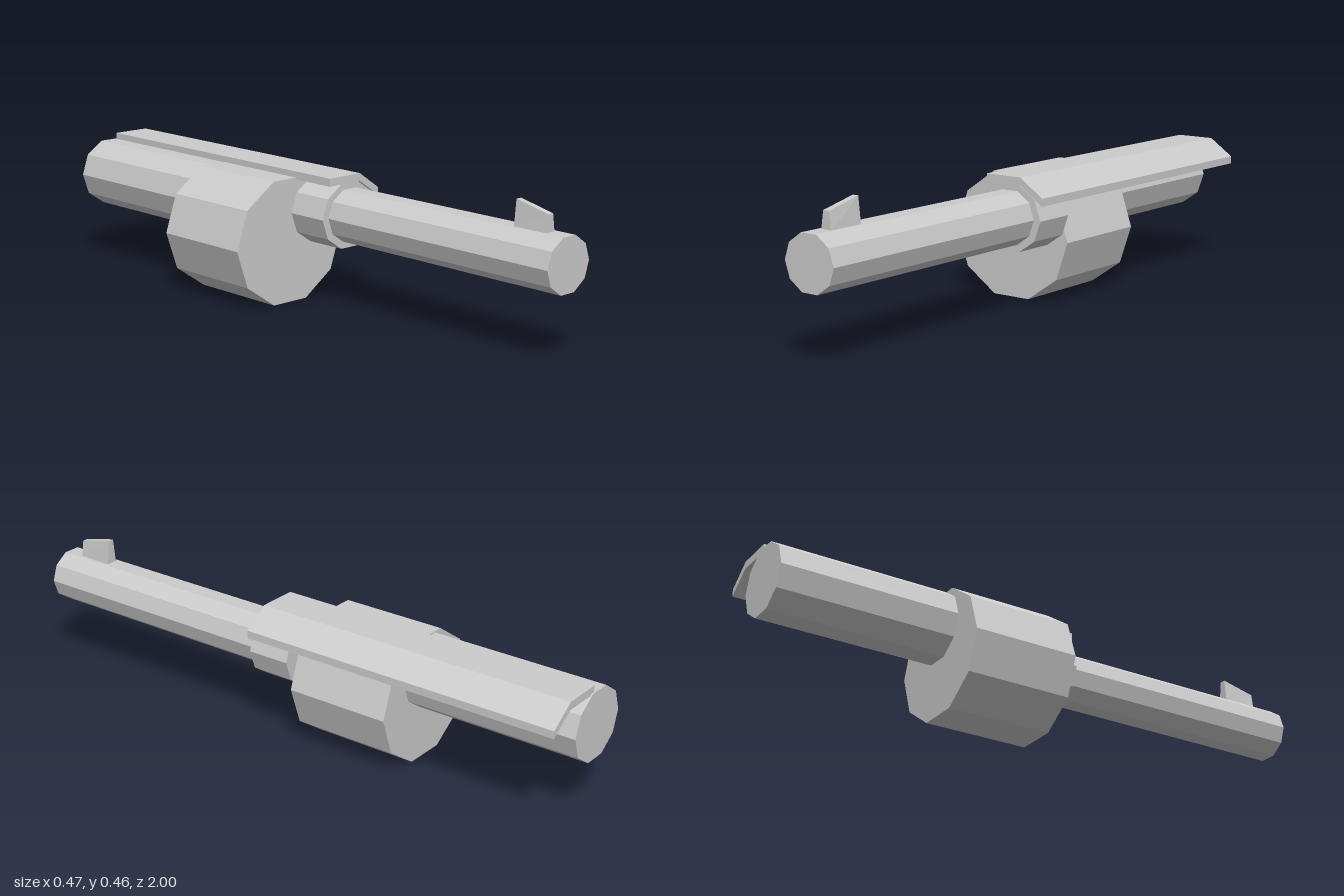
import * as THREE from 'three';

const material = new THREE.MeshStandardMaterial({ color: 0xcccccc, flatShading: true });

function addPart(group, name, geometry) {
  const mesh = new THREE.Mesh(geometry, material);
  mesh.name = name;
  group.add(mesh);
}

// Ten-sided prism along z, slightly flattened, with corners on its left and right
function prism(x, y, rx, ry, zBack, zFront) {
  const geometry = new THREE.CylinderGeometry(1, 1, zFront - zBack, 10, 1, false, Math.PI / 2);
  geometry.rotateX(Math.PI / 2);
  geometry.scale(rx, ry, 1);
  geometry.translate(x, y, (zBack + zFront) / 2);
  return geometry;
}

export function createModel() {
  const group = new THREE.Group();
  group.name = 'barrelAssembly';

  // Round bodies
  addPart(group, 'barrel', prism(0.1075, 0.2985, 0.0935, 0.089, 0.0, 1));
  addPart(group, 'collar', prism(0.1075, 0.297, 0.1185, 0.111, -0.035, 0.11));
  addPart(group, 'drum', prism(-0.0095, 0.204, 0.2255, 0.2145, -0.4, -0.045));
  addPart(group, 'rearTube', prism(-0.006, 0.295, 0.124, 0.1177, -1, -0.405));

  // Bent cover plate along the top
  const profile = new THREE.Shape([
    [0.018, 0.402], [0.15, 0.402], [0.234, 0.345],
    [0.234, 0.37], [0.15, 0.428], [0.018, 0.428],
  ].map(([x, y]) => new THREE.Vector2(x, y)));
  const plate = new THREE.ExtrudeGeometry(profile, { depth: 1.107, bevelEnabled: false });
  plate.translate(0, 0, -0.995);
  addPart(group, 'coverPlate', plate);

  // Tapered front sight, taller at its rear end
  const sight = new THREE.BoxGeometry(1, 1, 0.12);
  const p = sight.attributes.position;
  for (let i = 0; i < p.count; i++) {
    const top = p.getY(i) > 0;
    const front = p.getZ(i) > 0;
    const halfWidth = top ? 0.0105 : 0.019;
    p.setXYZ(i,
      0.1075 + Math.sign(p.getX(i)) * halfWidth,
      top ? (front ? 0.437 : 0.464) : 0.382,
      front ? 0.93 : 0.81);
  }
  sight.computeVertexNormals();
  addPart(group, 'frontSight', sight);

  return group;
}
